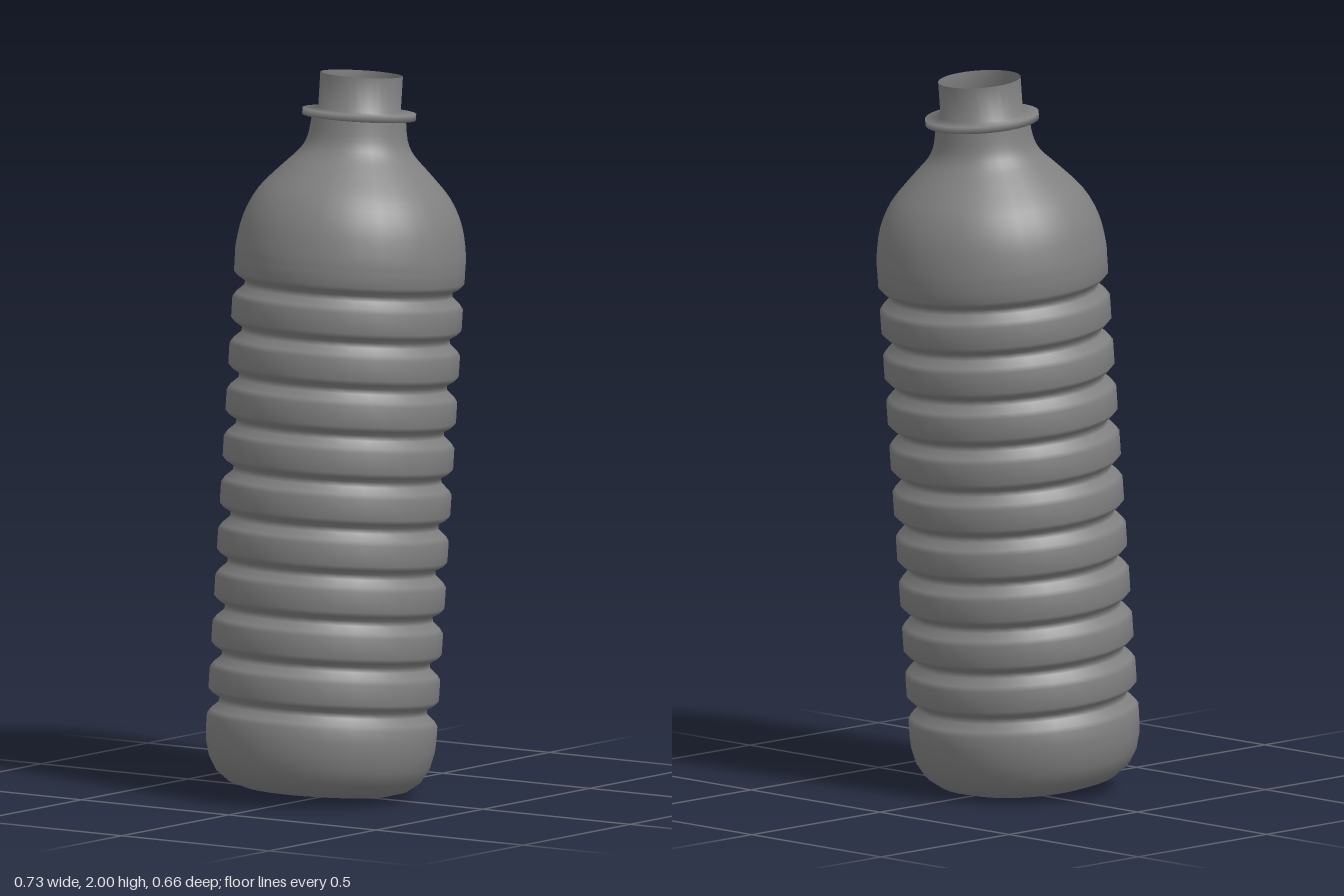
import * as THREE from 'three';

const SEGMENTS = 32;
const R = 0.318; // body radius
const GROOVES = 10;
const PITCH = 0.128;
const FIRST = 0.238; // height of the lowest groove

export function createModel() {
  const material = new THREE.MeshStandardMaterial({ color: 0x808080, side: THREE.DoubleSide });
  const bottle = new THREE.Group();
  bottle.name = 'bottle';

  // Revolves a profile of [radius, height] pairs, listed upwards
  const revolve = (name, profile) => {
    const points = profile.map(([r, y]) => new THREE.Vector2(r, y));
    const mesh = new THREE.Mesh(new THREE.LatheGeometry(points, SEGMENTS, Math.PI / SEGMENTS), material);
    mesh.name = name;
    bottle.add(mesh);
  };

  // Flat bottom with a rounded rim
  const body = [
    [0, -0.0045], [0.12, -0.0045], [0.2, 0], [0.247, 0.014], [0.283, 0.042],
    [0.305, 0.08], [0.316, 0.125], [R, 0.16],
  ];

  // Ribs separated by evenly spaced grooves
  for (let i = 0; i < GROOVES; i++) {
    const y = FIRST + i * PITCH;
    body.push(
      [R, y - 0.042], [0.309, y - 0.029], [0.288, y - 0.01],
      [0.286, y + 0.005], [0.306, y + 0.017], [R, y + 0.03],
    );
  }

  // Domed shoulder flowing into the neck
  const shoulder = new THREE.SplineCurve([
    [R, 1.46], [0.317, 1.5], [0.302, 1.577], [0.266, 1.65], [0.207, 1.715],
    [0.158, 1.765], [0.138, 1.805], [0.13, 1.86],
  ].map(([r, y]) => new THREE.Vector2(r, y)));
  body.push(...shoulder.getPoints(21).map((p) => [p.x, p.y]));
  revolve('body', body);

  // Softly shaded flange and the open mouth above it
  revolve('collarAndMouth', [
    [0.13, 1.86], [0.157, 1.862], [0.157, 1.88], [0.114, 1.884], [0.114, 1.981],
  ]);

  // The whole bottle leans sideways and slightly forwards
  const up = new THREE.Vector3(0, 1, 0);
  const lean = new THREE.Vector3(0.077, 1, 0.0195).normalize();
  bottle.quaternion.setFromUnitVectors(up, lean);
  bottle.position.set(-0.064, 0.0165, -0.014);

  const model = new THREE.Group();
  model.name = 'leaningBottle';
  model.add(bottle);
  return model;
}
